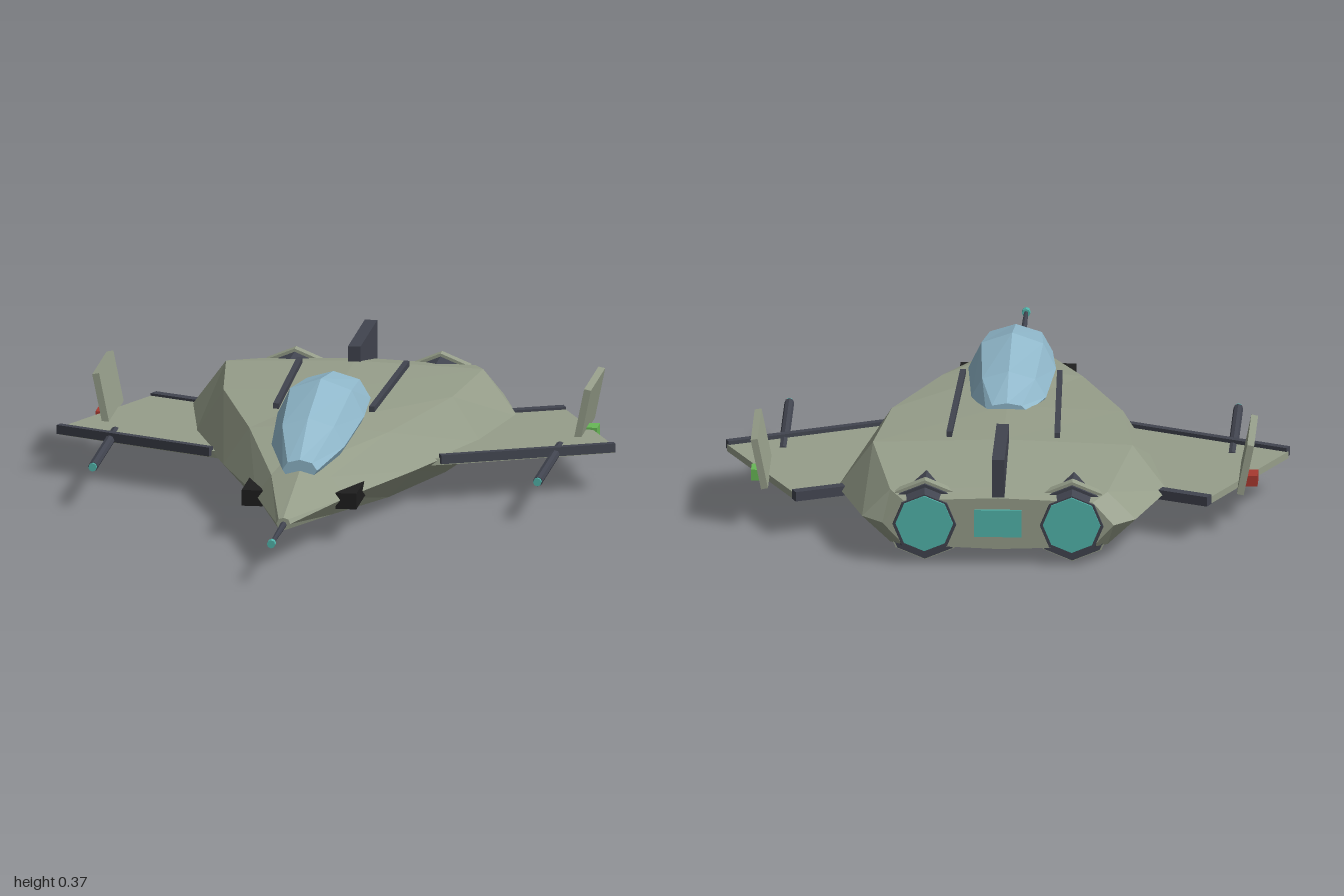
import * as THREE from 'three';

const mat = (name, color, extra = {}) => {
  const m = new THREE.MeshStandardMaterial({ color, flatShading: true, ...extra });
  m.name = name;
  return m;
};

// Closed skin through equal-length rings, ordered front to back, counter-clockwise from the front
function loft(rings) {
  const pos = [], n = rings[0].length;
  const tri = (...pts) => pts.forEach((p) => pos.push(...p));
  for (let i = 0; i < rings.length - 1; i++) {
    for (let j = 0; j < n; j++) {
      const k = (j + 1) % n, A = rings[i], B = rings[i + 1];
      tri(A[j], B[j], A[k]);
      tri(A[k], B[j], B[k]);
    }
  }
  const first = rings[0], last = rings[rings.length - 1];
  for (let j = 1; j < n - 1; j++) {
    tri(first[0], first[j], first[j + 1]);
    tri(last[0], last[j + 1], last[j]);
  }
  const g = new THREE.BufferGeometry();
  g.setAttribute('position', new THREE.Float32BufferAttribute(pos, 3));
  g.computeVertexNormals();
  return g;
}

export function createModel() {
  const model = new THREE.Group();
  model.name = 'spacecraft';
  const olive = mat('hull olive grey', 0x969e8a);
  const dark = mat('dark metal', 0x41444f);
  const black = mat('intake black', 0x1e1e1e);
  const glass = mat('canopy blue', 0x90b8cb);
  const teal = mat('glow teal', 0x52b5ac);
  const green = mat('green lamp', 0x68b856);
  const red = mat('red lamp', 0xa8392f);

  const add = (name, geo, material, x = 0, y = 0, z = 0) => {
    const m = new THREE.Mesh(geo, material);
    m.name = name;
    m.position.set(x, y, z);
    model.add(m);
    return m;
  };
  const box = (w, h, d) => new THREE.BoxGeometry(w, h, d);
  // Cylinder along z between two depths
  const rod = (name, material, x, y, z0, z1, rFront, rBack = rFront, sides = 8) =>
    add(name, new THREE.CylinderGeometry(rFront, rBack, z0 - z1, sides).rotateX(Math.PI / 2),
      material, x, y, (z0 + z1) / 2);
  // Box bar from point to point
  const bar = (name, material, a, b, w, h) => {
    const p = new THREE.Vector3(...a), q = new THREE.Vector3(...b);
    const m = add(name, box(w, h, p.distanceTo(q)), material);
    m.position.copy(p).add(q).multiplyScalar(0.5);
    m.lookAt(q);
    return m;
  };

  // Hull: z, ridge x, side x, chine x, top y, ridge y, chine y, keel y
  const hull = [
    [0.755, 0.014, 0.02, 0.014, 0.142, 0.138, 0.11, 0.106],
    [0.41, 0.085, 0.13, 0.09, 0.208, 0.185, 0.075, 0.06],
    [0.05, 0.2, 0.275, 0.2, 0.255, 0.235, 0.045, 0.028],
    [-0.33, 0.33, 0.41, 0.31, 0.268, 0.255, 0.034, 0.015],
    [-0.66, 0.37, 0.47, 0.37, 0.272, 0.26, 0.03, 0.004],
    [-0.93, 0.31, 0.39, 0.31, 0.216, 0.206, 0.05, 0.035],
    [-0.99, 0.27, 0.33, 0.27, 0.202, 0.192, 0.06, 0.05],
  ].map(([z, r, s, c, t, ry, cy, k]) => [
    [s, 0.125, z], [r, ry, z], [0, t, z], [-r, ry, z],
    [-s, 0.125, z], [-c, cy, z], [0, k, z], [c, cy, z],
  ]);
  add('hull', loft(hull), olive);

  // Canopy: z, half width, half height, centre y
  const canopy = [
    [0.43, 0.05, 0.03, 0.206],
    [0.265, 0.105, 0.08, 0.24],
    [0.01, 0.125, 0.106, 0.27],
    [-0.24, 0.107, 0.075, 0.265],
    [-0.365, 0.06, 0.025, 0.26],
  ].map(([z, rx, ry, cy]) => Array.from({ length: 8 }, (_, i) => {
    const a = (i / 8) * Math.PI * 2;
    return [rx * Math.cos(a), cy + ry * Math.sin(a), z];
  }));
  add('canopy', loft(canopy), glass);

  // Nose probe, tail fin and centre exhaust panel
  rod('noseProbe', dark, 0, 0.122, 0.985, 0.73, 0.006, 0.01);
  rod('probeTip', teal, 0, 0.122, 1.0, 0.98, 0.012);
  add('tailFin', box(0.036, 0.135, 0.335), dark, 0, 0.248, -0.818);
  add('exhaustPanel', box(0.135, 0.08, 0.012), teal, 0, 0.128, -0.992);

  for (const s of [1, -1]) {
    const side = s > 0 ? 'left' : 'right';

    // Wing plate with dark leading and trailing strips
    const shape = new THREE.Shape([
      [0.25, -0.05], [0.41, -0.12], [0.8, -0.305], [0.59, -0.75], [0.46, -0.69], [0.25, -0.59],
    ].map(([x, z]) => new THREE.Vector2(s * x, -z)));
    const wing = new THREE.ExtrudeGeometry(shape, { depth: 0.02, bevelEnabled: false });
    add(side + 'Wing', wing.rotateX(-Math.PI / 2), olive, 0, 0.112, 0);
    bar(side + 'LeadingEdge', dark, [s * 0.33, 0.13, -0.083], [s * 0.8, 0.13, -0.3], 0.022, 0.026);
    bar(side + 'TrailingFlap', dark, [s * 0.4, 0.125, -0.662], [s * 0.592, 0.125, -0.748], 0.03, 0.028);

    // Winglet leaning outwards, with a navigation lamp
    const winglet = add(side + 'Winglet', box(0.02, 0.15, 0.285), olive, s * 0.693, 0.197, -0.543);
    winglet.rotation.z = -s * 0.2;
    add(side + 'Lamp', box(0.046, 0.032, 0.06), s > 0 ? green : red, s * 0.699, 0.122, -0.525);

    // Wing gun
    rod(side + 'Gun', dark, s * 0.64, 0.122, 0.12, -0.325, 0.014);
    rod(side + 'GunTip', teal, s * 0.64, 0.122, 0.13, 0.118, 0.012);

    // Side intake and dorsal rail
    add(side + 'Intake', box(0.06, 0.046, 0.2), black, s * 0.135, 0.123, 0.345);
    bar(side + 'Rail', dark, [s * 0.138, 0.277, -0.05], [s * 0.154, 0.276, -0.63], 0.016, 0.016);

    // Engine: nacelle, collar, nozzle and glowing disc
    rod(side + 'Nacelle', dark, s * 0.21, 0.12, -0.55, -0.96, 0.111);
    rod(side + 'Collar', olive, s * 0.21, 0.122, -0.917, -0.95, 0.118);
    rod(side + 'Nozzle', dark, s * 0.21, 0.122, -0.95, -0.994, 0.103, 0.09);
    rod(side + 'EngineGlow', teal, s * 0.21, 0.126, -0.99, -1.0, 0.082);
  }
  return model;
}
